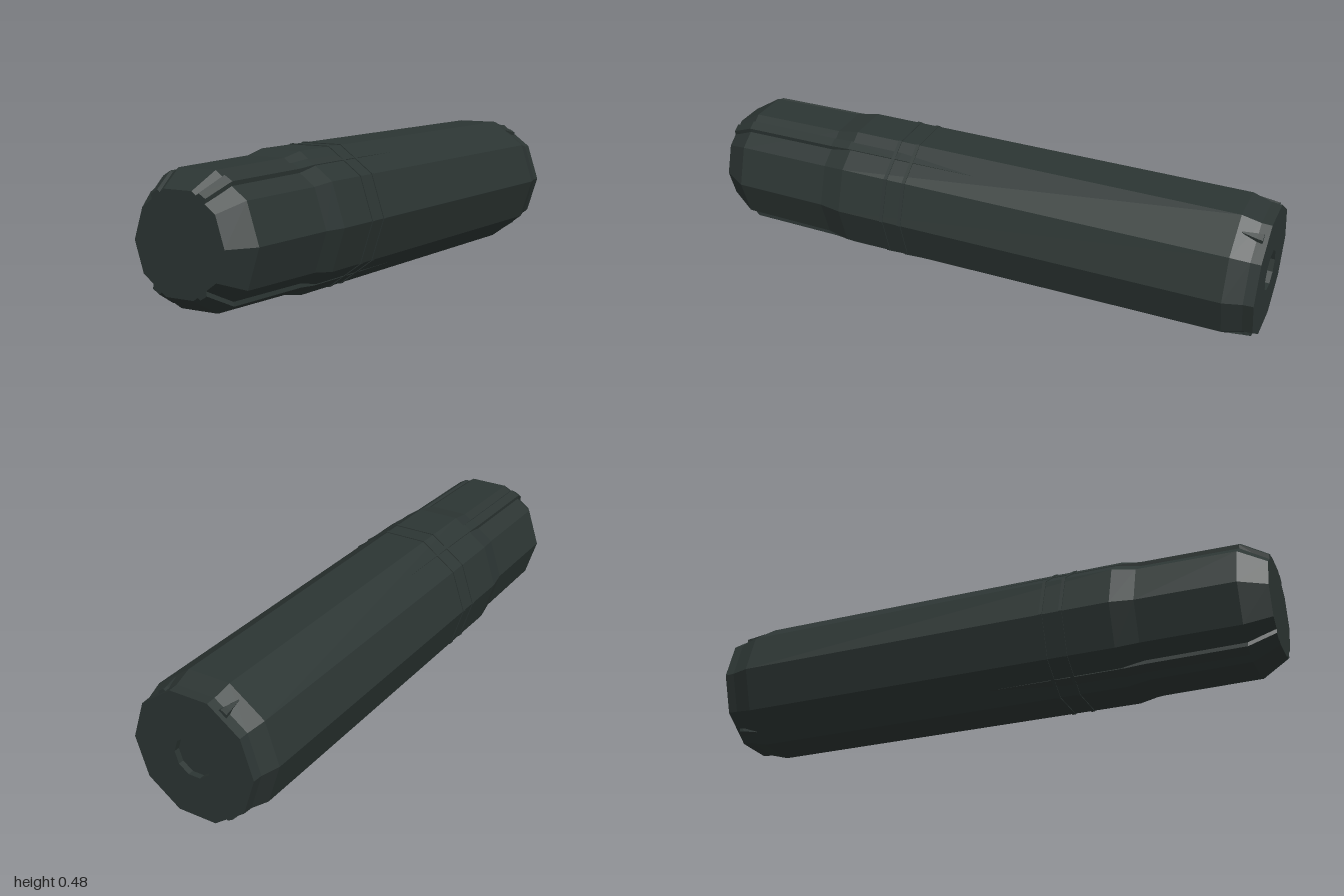
import * as THREE from 'three';

const CENTER_Y = 0.235;

// Lofts a trapezoid section along z at a given angle; sections are [z, outerRadius, halfWidth]
function loftRib(angle, sections, depth) {
  const c = Math.cos(angle), s = Math.sin(angle);
  const pos = [], index = [];
  for (const [z, r, w] of sections) {
    for (const [u, t] of [[r - depth, -w], [r, -w * 0.55], [r, w * 0.55], [r - depth, w]]) {
      pos.push(u * c - t * s, u * s + t * c, z);
    }
  }
  const last = (sections.length - 1) * 4;
  for (let i = 0; i < last; i += 4) {
    for (let k = 0; k < 4; k++) {
      const n = (k + 1) % 4;
      index.push(i + k, i + n, i + 4 + n, i + k, i + 4 + n, i + 4 + k);
    }
  }
  index.push(last, last + 1, last + 2, last, last + 2, last + 3, 0, 2, 1, 0, 3, 2);
  const g = new THREE.BufferGeometry();
  g.setAttribute('position', new THREE.Float32BufferAttribute(pos, 3));
  g.setIndex(index);
  g.computeVertexNormals();
  return g;
}

// Ten-sided turned shape lying along z; points are [radius, z] from back to front
function turned(points) {
  const pts = points.map(([r, z]) => new THREE.Vector2(r, z));
  return new THREE.LatheGeometry(pts, 10, Math.PI / 2).rotateX(Math.PI / 2);
}

export function createModel() {
  const model = new THREE.Group();
  model.name = 'barrel';
  const casing = new THREE.MeshStandardMaterial({ color: 0x2c3533, flatShading: true });
  casing.name = 'dark casing';

  const add = (name, geometry) => {
    const mesh = new THREE.Mesh(geometry, casing);
    mesh.name = name;
    mesh.position.y = CENTER_Y;
    model.add(mesh);
  };

  // Main body with a shallow round recess in the back end
  add('body', turned([
    [0, -0.98], [0.07, -0.98], [0.07, -1], [0.226, -1], [0.228, -0.965], [0.247, -0.9],
    [0.247, 0.49], [0.231, 0.57], [0.226, 0.91], [0.17, 1], [0, 1],
  ]));

  // Two thin bands around the body
  for (const z of [0.25, 0.32]) {
    add('band', turned([[0.24, z - 0.006], [0.25, z - 0.006], [0.25, z + 0.006], [0.24, z + 0.006]]));
  }

  // Four long ribs toward the front, and four small wedges on the back bevel
  const lean = THREE.MathUtils.degToRad(59);
  for (const angle of [lean, Math.PI - lean, Math.PI + lean, -lean]) {
    add('frontRib', loftRib(angle, [
      [-0.05, 0.234, 0.026], [0.3, 0.237, 0.028], [0.5, 0.237, 0.03],
      [0.57, 0.231, 0.03], [0.91, 0.227, 0.03], [1, 0.175, 0.026],
    ], 0.03));
    add('backWedge', loftRib(angle, [[-0.985, 0.226, 0.022], [-0.965, 0.228, 0.018], [-0.915, 0.234, 0.003]], 0.02));
  }
  return model;
}
